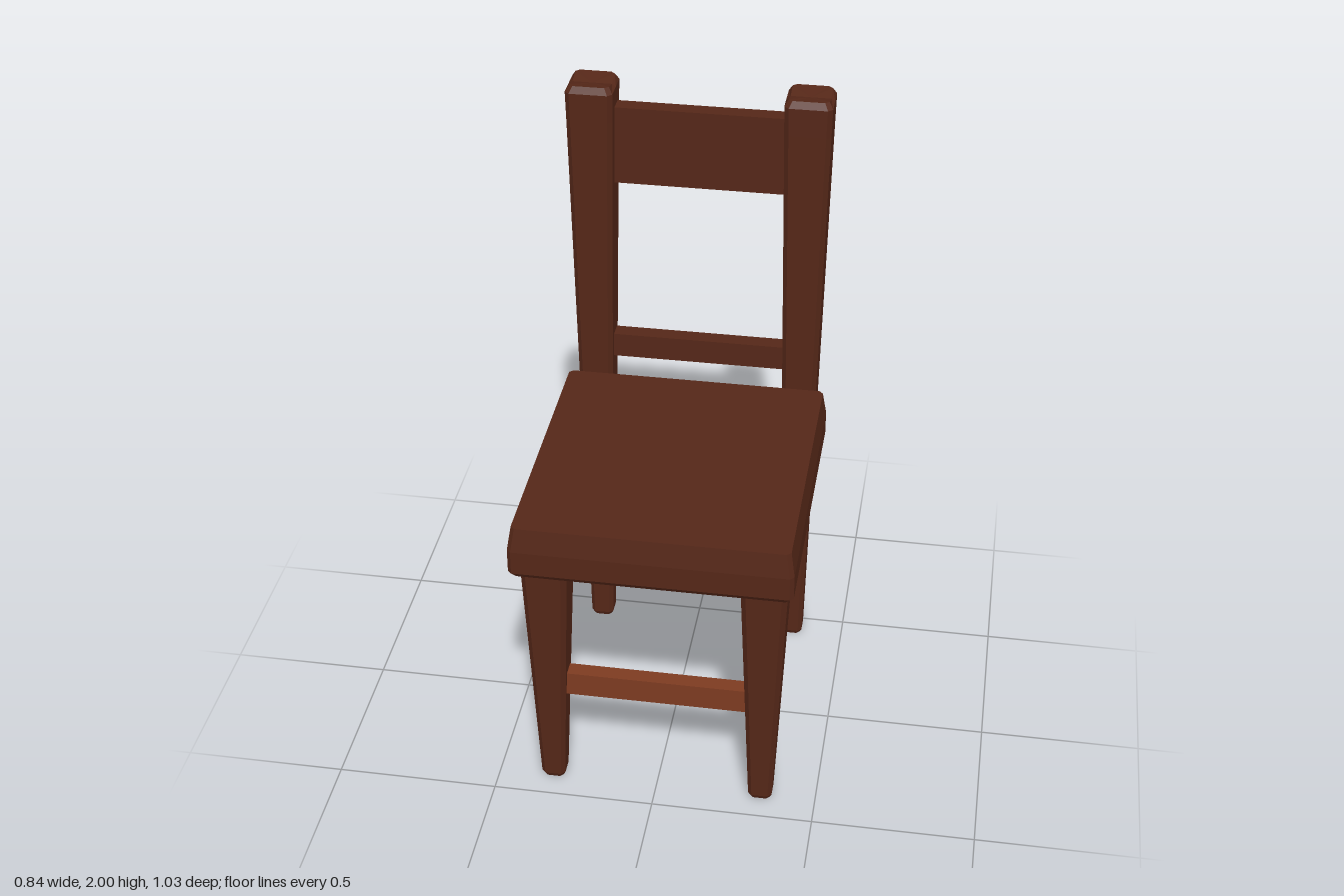
import * as THREE from 'three';

const wood = new THREE.MeshStandardMaterial({ color: 0x552718, flatShading: true });
const railWood = new THREE.MeshStandardMaterial({ color: 0x7d3b21, flatShading: true });

// Closed loft through chamfered rectangles; each level is [y, halfX, halfZ, chamfer].
// dip lowers the middle line of the top cap.
function chamferedLoft(levels, dip = 0) {
  const rings = levels.map(([y, hx, hz, c], k) => {
    const mid = k === levels.length - 1 ? y - dip : y;
    return [
      [hx, mid, 0], [hx, y, hz - c], [hx - c, y, hz], [c - hx, y, hz], [-hx, y, hz - c],
      [-hx, mid, 0], [-hx, y, c - hz], [c - hx, y, -hz], [hx - c, y, -hz], [hx, y, c - hz],
    ];
  });
  const n = 10;
  const pos = [];
  const tri = (a, b, c) => pos.push(...a, ...b, ...c);
  const first = rings[0];
  const last = rings[rings.length - 1];
  const bottom = [0, levels[0][0], 0];
  const top = [0, levels[levels.length - 1][0] - dip, 0];
  for (let i = 0; i < n; i++) {
    const j = (i + 1) % n;
    for (let k = 0; k < rings.length - 1; k++) {
      const lo = rings[k];
      const up = rings[k + 1];
      tri(lo[i], up[i], lo[j]);
      tri(lo[j], up[i], up[j]);
    }
    tri(bottom, first[i], first[j]);
    tri(top, last[j], last[i]);
  }
  const g = new THREE.BufferGeometry();
  g.setAttribute('position', new THREE.Float32BufferAttribute(pos, 3));
  g.computeVertexNormals();
  return g;
}

export function createModel() {
  const chair = new THREE.Group();
  chair.name = 'chair';

  const add = (name, geometry, material, x, y, z) => {
    const mesh = new THREE.Mesh(geometry, material);
    mesh.name = name;
    mesh.position.set(x, y, z);
    chair.add(mesh);
  };
  const bar = (name, material, [w, h, d], x, y, z) =>
    add(name, new THREE.BoxGeometry(w, h, d), material, x, y, z);

  // Seat: thick slab, slightly drawn in at the top and bevelled underneath
  add('seat', chamferedLoft([
    [0.845, 0.408, 0.438, 0.012],
    [0.862, 0.42, 0.45, 0.012],
    [0.938, 0.42, 0.45, 0.012],
    [1.015, 0.408, 0.438, 0.012],
  ]), wood, 0, 0, 0.065);

  // Tapered legs and back posts
  const legGeometry = chamferedLoft([
    [0, 0.03, 0.03, 0.01],
    [0.015, 0.037, 0.037, 0.012],
    [0.86, 0.071, 0.071, 0.016],
  ]);
  const postGeometry = chamferedLoft([
    [0, 0.03, 0.03, 0.01],
    [0.015, 0.037, 0.037, 0.012],
    [1.89, 0.07, 0.07, 0.014],
    [1.98, 0.072, 0.072, 0.014],
    [2.0, 0.06, 0.06, 0.012],
  ], 0.012);

  for (const [side, s] of [['left', 1], ['right', -1]]) {
    add(side + 'FrontLeg', legGeometry, wood, s * 0.328, 0, 0.39);
    add(side + 'BackPost', postGeometry, wood, s * 0.328, 0, -0.445);
    bar(side + 'SideRail', railWood, [0.05, 0.08, 0.72], s * 0.328, 0.65, -0.02);
  }

  // Lower rails between the leg pairs
  bar('frontRail', railWood, [0.57, 0.08, 0.05], 0, 0.38, 0.39);
  bar('backRail', railWood, [0.57, 0.08, 0.05], 0, 0.38, -0.445);

  // Backrest slats
  bar('topSlat', wood, [0.54, 0.25, 0.052], 0, 1.797, -0.45);
  bar('lowerSlat', wood, [0.56, 0.08, 0.052], 0, 1.093, -0.45);

  return chair;
}
